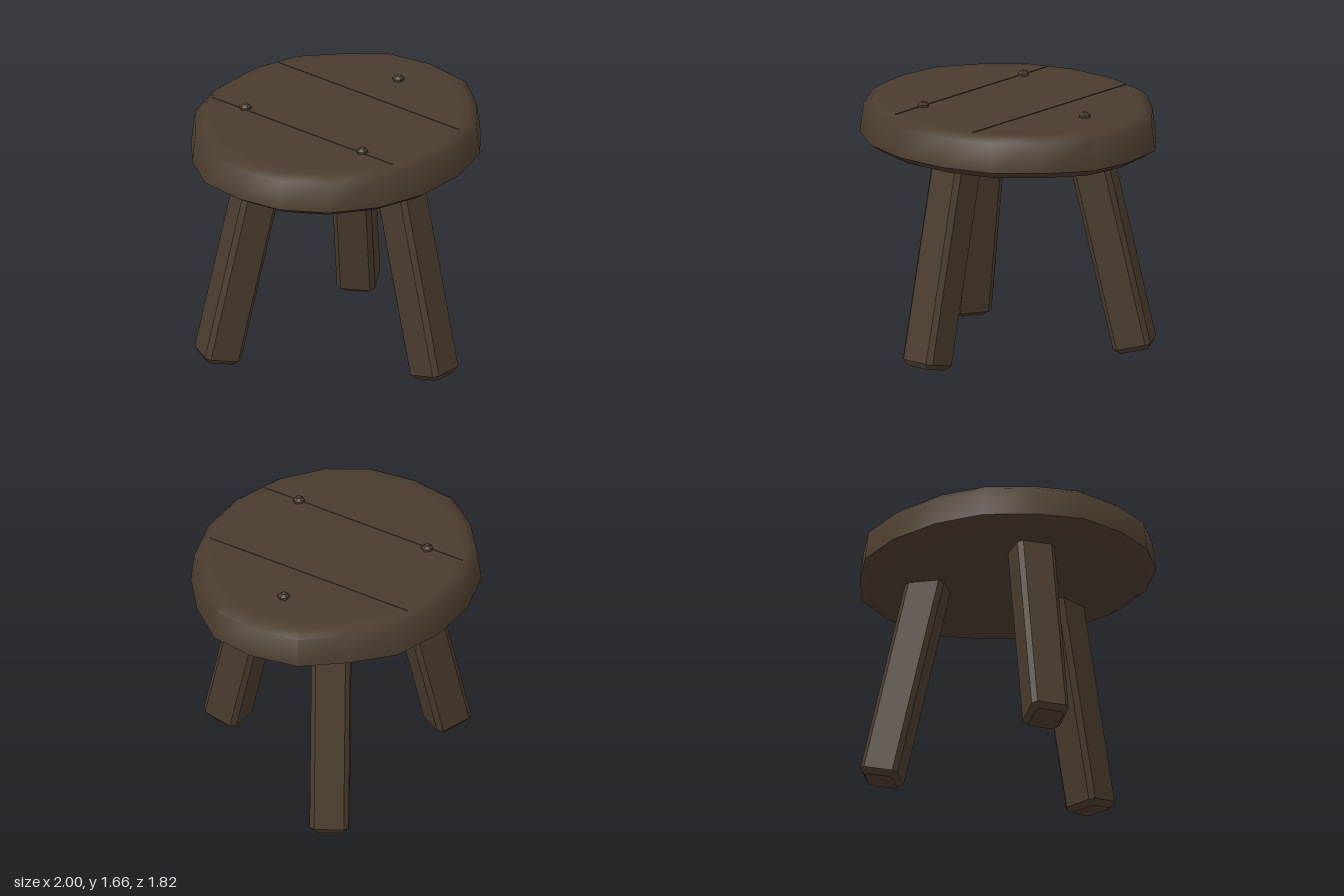
import * as THREE from 'three';
import { toCreasedNormals } from 'three/addons/utils/BufferGeometryUtils.js';

const darkWood = new THREE.MeshStandardMaterial({ color: 0x4a3c2d });
darkWood.name = 'darkWood';

// Closed solid from an [x, z] outline (counter-clockwise seen from above),
// repeated at [y, scale] levels from bottom to top
function loft(outline, levels, crease) {
  const n = outline.length;
  const positions = [];
  const index = [];
  for (const [y, s] of levels) {
    for (const [x, z] of outline) positions.push(x * s, y, z * s);
  }
  const last = levels.length - 1;
  const bottom = n * levels.length;
  positions.push(0, levels[0][0], 0, 0, levels[last][0], 0);
  for (let i = 0; i < n; i++) {
    const j = (i + 1) % n;
    for (let k = 0; k < last; k++) {
      const a = k * n + i, b = k * n + j;
      index.push(a, b, b + n, a, b + n, a + n);
    }
    index.push(bottom, j, i, bottom + 1, last * n + i, last * n + j);
  }
  const geometry = new THREE.BufferGeometry();
  geometry.setAttribute('position', new THREE.Float32BufferAttribute(positions, 3));
  geometry.setIndex(index);
  return toCreasedNormals(geometry, crease);
}

function addMesh(parent, name, geometry, x = 0, y = 0, z = 0) {
  const mesh = new THREE.Mesh(geometry, darkWood);
  mesh.name = name;
  mesh.position.set(x, y, z);
  parent.add(mesh);
  return mesh;
}

export function createModel() {
  const stool = new THREE.Group();
  stool.name = 'stool';

  // Hand-cut round seat with chamfered rims
  const rim = [
    [-0.2, -0.91], [0.16, -0.91], [0.49, -0.81], [0.73, -0.59], [0.935, -0.34], [0.995, -0.02],
    [0.95, 0.28], [0.745, 0.54], [0.49, 0.75], [0.16, 0.85], [-0.2, 0.85], [-0.52, 0.75],
    [-0.79, 0.55], [-0.955, 0.28], [-1, -0.02], [-0.96, -0.33], [-0.78, -0.59], [-0.52, -0.81],
  ].map(([x, z]) => [x, z + 0.03]).reverse();
  const seatLevels = [
    [1.345, 0.8], [1.345, 0.92], [1.395, 1], [1.585, 0.975], [1.625, 0.92], [1.625, 0.84],
  ];
  addMesh(stool, 'seat', loft(rim, seatLevels, 0.9), 0, 0, -0.03);

  // Plank seams across the seat
  for (const x of [-0.345, 0.31]) {
    addMesh(stool, 'plankSeam', new THREE.BoxGeometry(0.005, 0.006, 1.5), x, 1.626, -0.03);
  }

  // Six-sided wooden pegs above the legs
  const pegRing = Array.from({ length: 6 }, (_, i) => {
    const a = (i * Math.PI) / 3;
    return [0.038 * Math.cos(a), -0.038 * Math.sin(a)];
  });
  const pegGeometry = loft(pegRing, [[0, 1], [0.02, 1], [0.037, 0.5]], 0.5);
  for (const [x, z] of [[-0.33, -0.52], [0.61, -0.03], [-0.335, 0.455]]) {
    addMesh(stool, 'peg', pegGeometry, x, 1.62, z);
  }

  // Three splayed square legs with chamfered edges
  const w = 0.125, c = 0.095;
  const section = [[-c, w], [c, w], [w, c], [w, -c], [c, -w], [-c, -w], [-w, -c], [-w, c]];
  const legGeometry = loft(section, [[0, 0.76], [0.035, 1], [1.42, 1]], 0.5);
  ['frontLeg', 'backLeftLeg', 'backRightLeg'].forEach((name, i) => {
    const pivot = new THREE.Group();
    pivot.name = name;
    pivot.position.set(-0.015, 0, -0.022);
    pivot.rotation.y = (i * Math.PI * 2) / 3;
    addMesh(pivot, name + 'Post', legGeometry, 0, 0.022, 0.818).rotation.x = -0.227;
    stool.add(pivot);
  });

  return stool;
}
